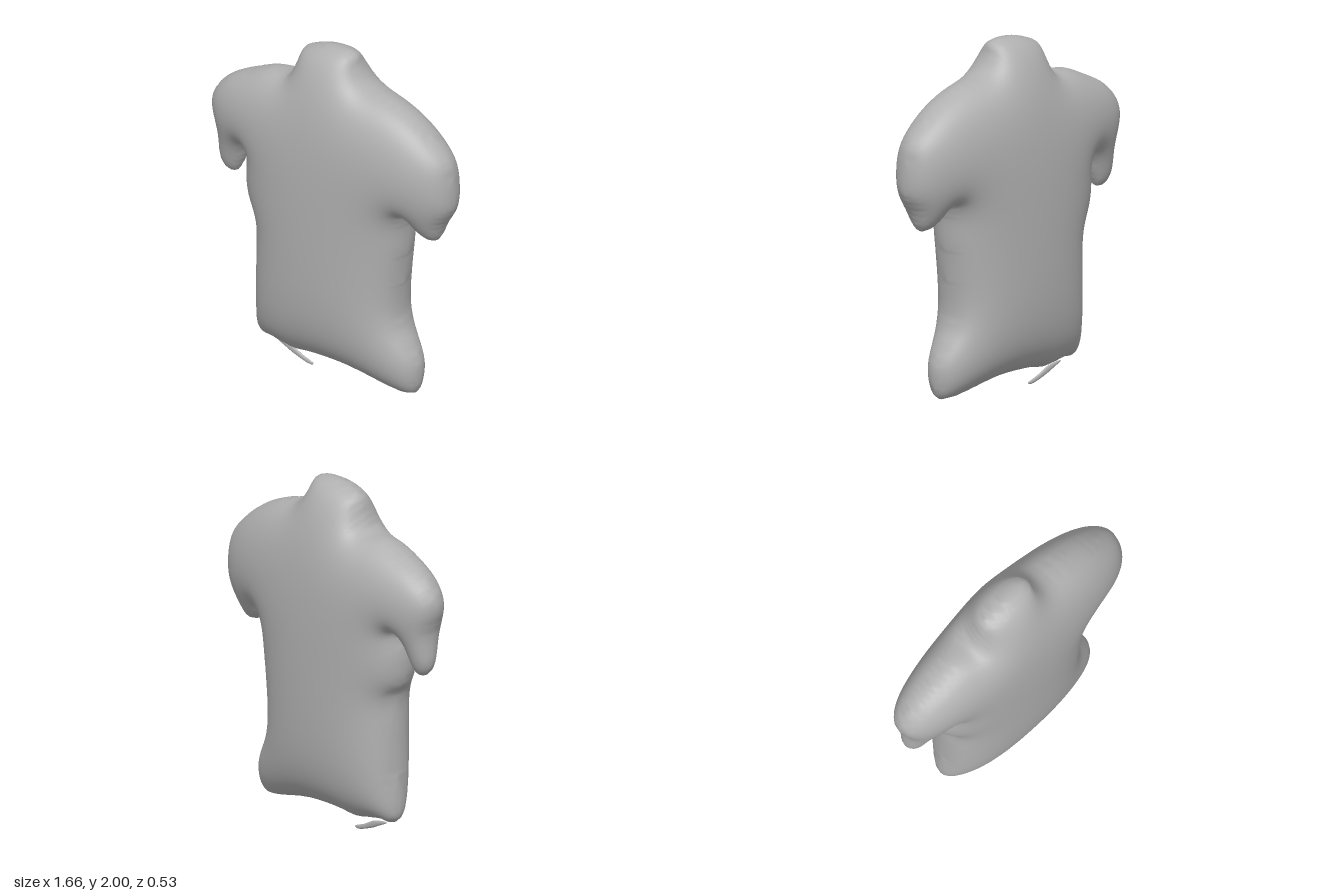
import * as THREE from 'three';

// Torso outline, clockwise from the neck
const TORSO = [
  [-.20, 1.94], [-.14, 1.97], [-.02, 2], [.145, 1.985], [.17, 1.92], [.235, 1.835], [.42, 1.78],
  [.575, 1.71], [.715, 1.605], [.80, 1.51], [.825, 1.405], [.825, 1.23], [.765, 1.125], [.72, 1.025],
  [.68, 1.008], [.59, 1.05], [.553, 1.09], [.548, 1.16], [.515, 1.065], [.505, .92], [.484, .73],
  [.474, .52], [.50, .415], [.54, .345], [.595, .22], [.575, .06], [.537, .035], [.38, .057],
  [.246, .087], [.087, .108], [-.167, .103], [-.204, .092], [-.415, .124], [-.457, .113],
  [-.51, .145], [-.51, .36], [-.50, .65], [-.50, .865], [-.553, .945], [-.574, 1.1], [-.553, 1.265],
  [-.595, 1.215], [-.643, 1.10], [-.68, 1.04], [-.743, 1.045], [-.786, 1.115], [-.79, 1.29],
  [-.833, 1.45], [-.80, 1.54], [-.706, 1.63], [-.574, 1.695], [-.43, 1.75], [-.283, 1.77], [-.24, 1.835],
];
// Loose sliver under the hem
const SLIVER = [[-.415, .098], [-.32, .088], [-.23, .045], [-.15, .012], [-.17, .002], [-.29, .037], [-.34, .06]];

// Nearest outline point and inside test for (x, y)
function locate(x, y, line) {
  let best = Infinity, px = x, py = y, inside = false;
  for (let i = 0, j = line.length - 1; i < line.length; j = i++) {
    const a = line[j], b = line[i], dx = b.x - a.x, dy = b.y - a.y;
    const t = THREE.MathUtils.clamp(((x - a.x) * dx + (y - a.y) * dy) / (dx * dx + dy * dy || 1), 0, 1);
    const qx = a.x + t * dx, qy = a.y + t * dy, d = Math.hypot(x - qx, y - qy);
    if (d < best) { best = d; px = qx; py = qy; }
    if ((a.y > y) !== (b.y > y) && x < a.x + (y - a.y) * dx / dy) inside = !inside;
  }
  return { x, y, px, py, d: best, inside, u: 0 };
}

// Puffs an outline into a pillow: the squared depth solves a damped membrane equation, zero at the rim
function inflate(points, h, depth, damping, rounds) {
  const curve = new THREE.CatmullRomCurve3(points.map(([x, y]) => new THREE.Vector3(x, y, 0)), true, 'centripetal');
  const line = curve.getPoints(points.length * 4).slice(0, -1);
  const box = new THREE.Box3().setFromPoints(line);
  const nx = Math.ceil((box.max.x - box.min.x) / h) + 5, ny = Math.ceil((box.max.y - box.min.y) / h) + 5;
  const nodes = [];
  for (let j = 0; j < ny; j++) {
    for (let i = 0; i < nx; i++) nodes.push(locate(box.min.x + (i - 2) * h, box.min.y + (j - 2) * h, line));
  }

  // Membrane: links that cross the rim are shortened to the true rim distance
  const kh = damping * damping * h * h, load = kh * depth * depth, cells = [];
  nodes.forEach((n, k) => {
    if (!n.inside) return;
    let weight = kh;
    const links = [];
    for (const m of [nodes[k - 1], nodes[k + 1], nodes[k - nx], nodes[k + nx]]) {
      if (m.inside) { links.push(m); weight += 1; }
      else weight += 1 / Math.max(.05, n.d / (n.d + m.d));
    }
    cells.push({ n, links, weight });
  });
  for (let r = 0; r < rounds; r++) {
    for (const { n, links, weight } of cells) {
      let sum = load;
      for (const m of links) sum += m.u;
      n.u = sum / weight;
    }
  }

  // Front and back skins share the rim vertices
  const pos = [], index = [];
  const vertex = (n) => {
    if (n.front !== undefined) return;
    n.front = n.back = pos.length / 3;
    if (!n.inside) { pos.push(n.px, n.py, 0); return; }
    const z = Math.sqrt(n.u);
    pos.push(n.x, n.y, z, n.x, n.y, -z);
    n.back++;
  };
  const triangle = (...t) => {
    if (!t.some((n) => n.inside)) return;
    t.forEach(vertex);
    index.push(t[0].front, t[1].front, t[2].front, t[0].back, t[2].back, t[1].back);
  };
  for (let j = 0; j < ny - 1; j++) {
    for (let i = 0; i < nx - 1; i++) {
      const k = j * nx + i, a = nodes[k], b = nodes[k + 1], c = nodes[k + nx + 1], d = nodes[k + nx];
      if (a.inside === c.inside && b.inside !== d.inside) { triangle(a, b, c); triangle(a, c, d); }
      else { triangle(a, b, d); triangle(b, c, d); }
    }
  }
  const geometry = new THREE.BufferGeometry();
  geometry.setAttribute('position', new THREE.Float32BufferAttribute(pos, 3));
  geometry.setIndex(index);
  geometry.computeVertexNormals();
  return geometry;
}

export function createModel() {
  const group = new THREE.Group();
  group.name = 'torso';
  const grey = new THREE.MeshStandardMaterial({ color: 0xb0b0b0 });
  grey.name = 'grey';

  // Body with neck and upper arms
  const body = new THREE.Mesh(inflate(TORSO, .018, .292, 4.5, 1500), grey);
  body.name = 'body';
  // Thin sliver below the hem
  const sliver = new THREE.Mesh(inflate(SLIVER, .004, .012, 80, 200), grey);
  sliver.name = 'hemSliver';
  group.add(body, sliver);
  return group;
}
